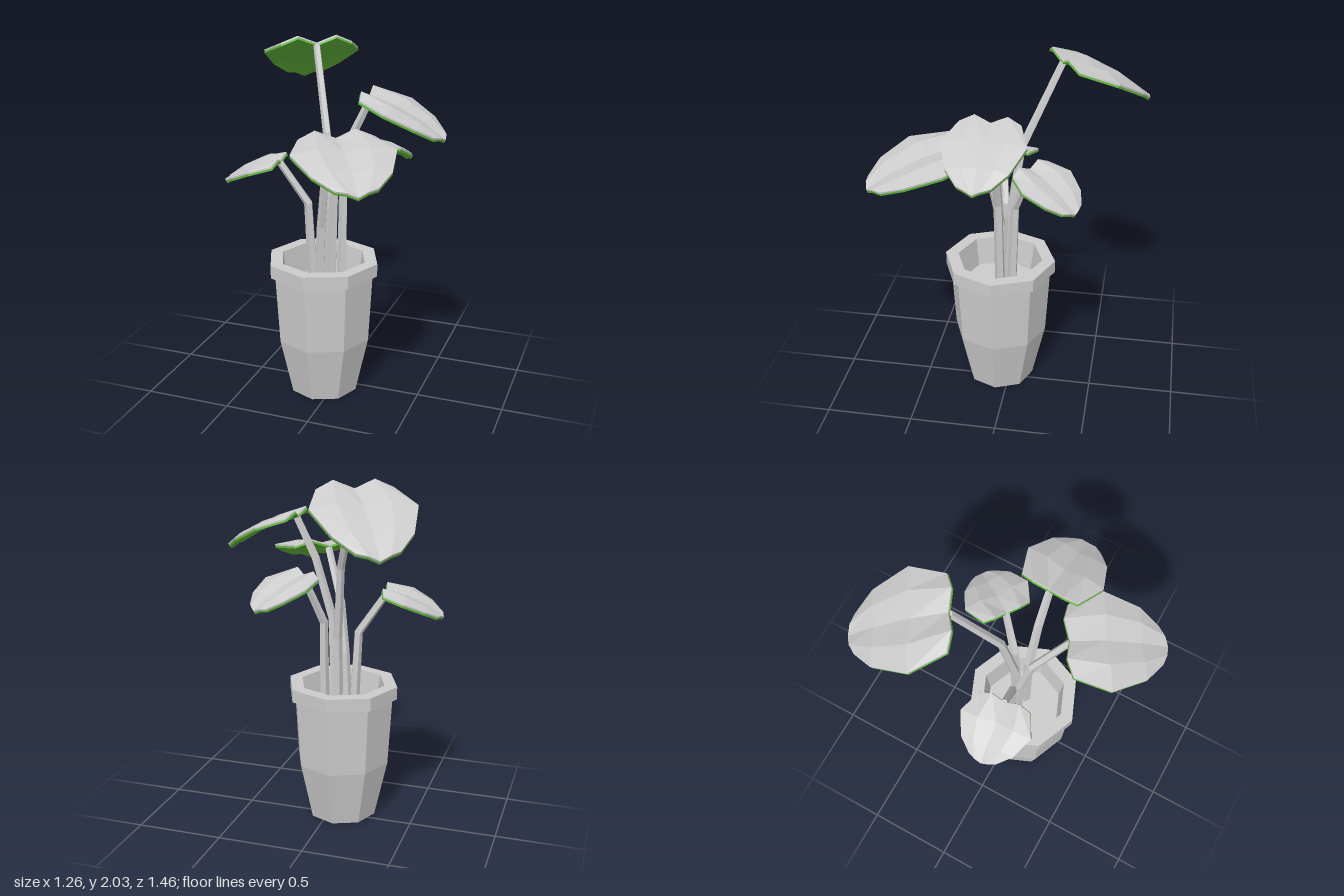
import * as THREE from 'three';

const grey = new THREE.MeshStandardMaterial({ color: 0xcccccc, flatShading: true });
const green = new THREE.MeshStandardMaterial({ color: 0x62b53c, flatShading: true });
const V = (a) => new THREE.Vector3(...a);

function mesh(name, geometry, material = grey) {
  const m = new THREE.Mesh(geometry, material);
  m.name = name;
  return m;
}

function surface(points, index) {
  const g = new THREE.BufferGeometry().setFromPoints(points);
  g.setIndex(index);
  g.computeVertexNormals();
  return g;
}

// Half of a heart-shaped blade, row by row from notch to tip:
// [across, along] at the midrib, half way out and at the edge
const ROWS = [
  [[0, 0], [0.11, -0.06], [0.205, 0.01]],
  [[0, 0.33], [0.14, 0.34], [0.28, 0.355]],
  [[0, 0.69], [0.11, 0.7], [0.205, 0.72]],
  [[0, 1], [0.055, 0.965], [0.11, 0.915]],
];
const LIFT = [0, 0.03, 0.004]; // midrib creased, wings raised

// Thin closed sheet between two offsets along the blade normal
function bladeSheet(base, tip, scale, upper, lower) {
  const chord = tip.clone().sub(base);
  const side = new THREE.Vector3(0, 1, 0).cross(chord).normalize();
  const normal = chord.clone().cross(side).normalize();
  const points = [], index = [], cols = 5, rows = ROWS.length, count = cols * rows;
  for (const offset of [upper, lower]) {
    for (const row of ROWS) {
      for (let j = -2; j <= 2; j++) {
        const [w, a] = row[Math.abs(j)];
        const arch = 0.14 * Math.max(0, a) * (1 - a) + LIFT[Math.abs(j)] * (1 - 0.6 * a);
        points.push(base.clone().addScaledVector(chord, a)
          .addScaledVector(side, Math.sign(j) * w * scale)
          .addScaledVector(normal, arch * scale + offset));
      }
    }
  }
  for (let i = 0; i < rows - 1; i++) {
    for (let j = 0; j < cols - 1; j++) {
      const a = i * cols + j, b = a + cols, c = b + 1, d = a + 1;
      index.push(a, b, c, a, c, d);
      index.push(a + count, c + count, b + count, a + count, d + count, c + count);
    }
  }
  // rim around the outline
  const loop = [];
  for (let j = 0; j < cols - 1; j++) loop.push(j);
  for (let i = 0; i < rows - 1; i++) loop.push(i * cols + cols - 1);
  for (let j = cols - 1; j > 0; j--) loop.push((rows - 1) * cols + j);
  for (let i = rows - 1; i > 0; i--) loop.push(i * cols);
  loop.forEach((p, k) => {
    const q = loop[(k + 1) % loop.length];
    index.push(p, q, q + count, p, q + count, p + count);
  });
  return surface(points, index);
}

// Tapering stem with mitred bends
function stemGeometry(path, sides = 5) {
  const pts = path.map(V), points = [], index = [];
  pts.forEach((p, i) => {
    const before = pts[Math.max(i - 1, 0)], after = pts[Math.min(i + 1, pts.length - 1)];
    const t = after.clone().sub(before).normalize();
    const u = new THREE.Vector3(0, 0, 1).addScaledVector(t, -t.z).normalize();
    const v = t.clone().cross(u);
    const r = 0.03 - 0.009 * i / (pts.length - 1);
    for (let k = 0; k < sides; k++) {
      const angle = (k / sides) * Math.PI * 2;
      points.push(p.clone().addScaledVector(u, r * Math.cos(angle)).addScaledVector(v, r * Math.sin(angle)));
      if (i < pts.length - 1) {
        const a = i * sides + k, b = i * sides + (k + 1) % sides;
        index.push(a, b, b + sides, a, b + sides, a + sides);
      }
    }
  });
  const end = (pts.length - 1) * sides; // cap
  for (let k = 1; k < sides - 1; k++) index.push(end, end + k, end + k + 1);
  return surface(points, index);
}

const PLANTS = [
  { name: 'backRight', // tallest leaf, on the model's right
    stem: [[-0.05, 0.64, 0.02], [-0.05, 1.1, 0], [-0.085, 1.52, -0.06], [-0.22, 1.975, -0.26]],
    base: [-0.22, 1.98, -0.26], tip: [-0.48, 1.71, -0.71], scale: 1 },
  { name: 'right',
    stem: [[-0.14, 0.64, 0.03], [-0.16, 1.13, 0.045], [-0.315, 1.365, 0.08]],
    base: [-0.31, 1.37, 0.085], tip: [-0.63, 1.235, 0.115], scale: 0.72 },
  { name: 'front',
    stem: [[-0.1, 0.64, 0.04], [-0.08, 1, 0.05], [-0.04, 1.28, 0.1], [0.085, 1.56, 0.255]],
    base: [0.08, 1.575, 0.25], tip: [0.36, 1.415, 0.7], scale: 1 },
  { name: 'left',
    stem: [[-0.02, 0.64, 0.055], [0, 1.2, 0.06], [0.1, 1.54, 0.06], [0.21, 1.765, 0.06]],
    base: [0.2, 1.775, 0.06], tip: [0.625, 1.57, 0.08], scale: 0.8 },
  { name: 'backLeft',
    stem: [[0.02, 0.64, -0.02], [0.02, 1.2, -0.04], [0.105, 1.475, -0.14]],
    base: [0.1, 1.48, -0.13], tip: [0.29, 1.325, -0.4], scale: 0.67 },
];

export function createModel() {
  const model = new THREE.Group();
  model.name = 'pottedPlant';

  // Octagonal pot with a raised rim and sloping inner wall
  const profile = [[0, 0], [0.2, 0], [0.275, 0.34], [0.298, 0.745], [0.325, 0.745],
    [0.325, 0.82], [0.25, 0.82], [0.225, 0.65]].map(([x, y]) => new THREE.Vector2(x, y));
  const pot = mesh('pot', new THREE.LatheGeometry(profile, 8));
  pot.position.set(-0.065, 0, 0.062);
  const soil = mesh('soil', new THREE.CircleGeometry(0.226, 8).rotateX(-Math.PI / 2));
  soil.position.set(-0.065, 0.65, 0.062);
  model.add(pot, soil);

  // Stems, each carrying one two-layered leaf
  for (const { name, stem, base, tip, scale } of PLANTS) {
    const group = new THREE.Group();
    group.name = name + 'Leaf';
    group.add(
      mesh('stem', stemGeometry(stem)),
      mesh('leafTop', bladeSheet(V(base), V(tip), scale, 0.009, 0)),
      mesh('leafUnderside', bladeSheet(V(base), V(tip), scale, -0.0005, -0.012), green),
    );
    model.add(group);
  }
  return model;
}
